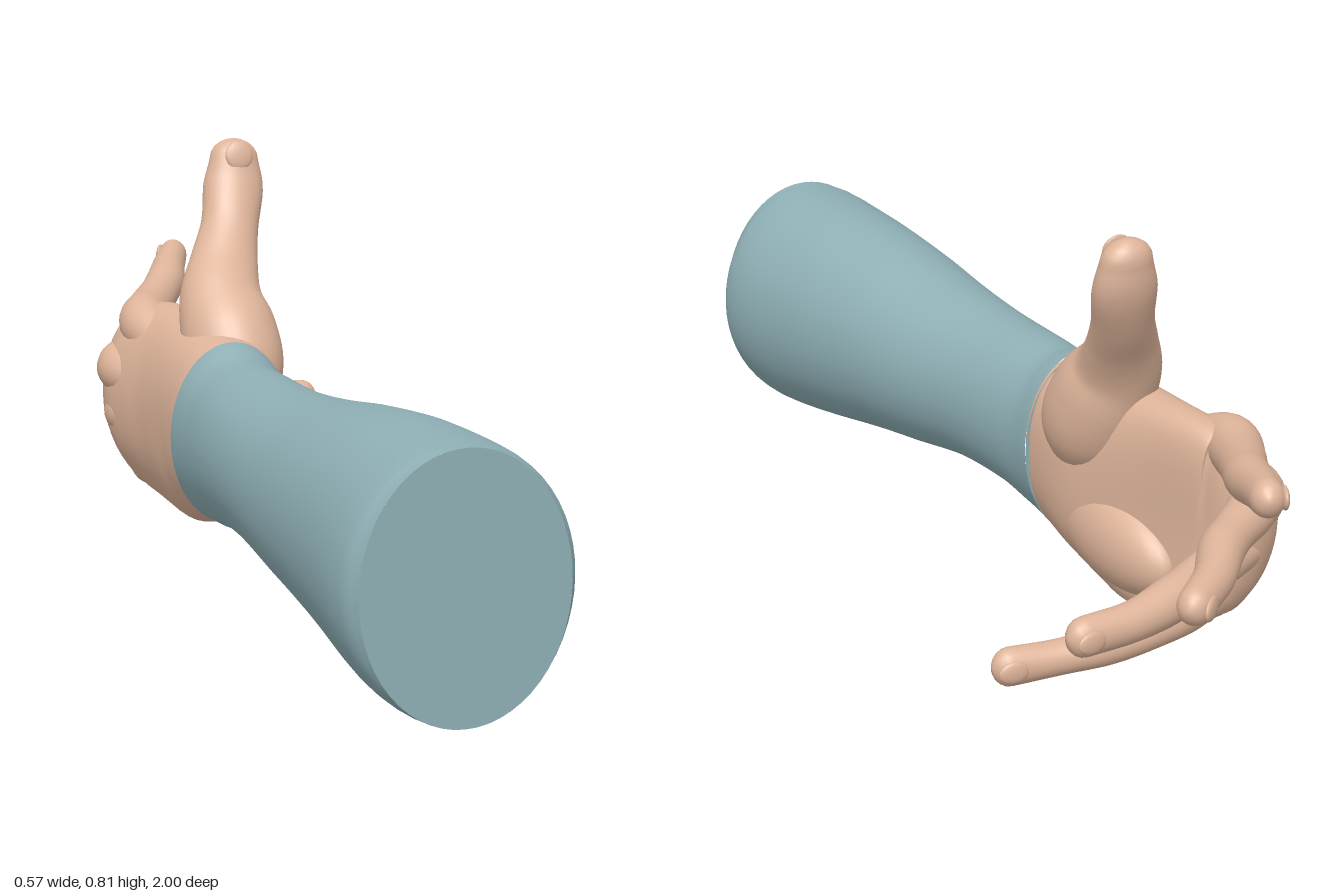
import * as THREE from 'three';

const skin = new THREE.MeshStandardMaterial({ color: 0xdfb59b });
skin.name = 'skin';
const cloth = new THREE.MeshStandardMaterial({ color: 0x8fb0b6 });
cloth.name = 'sleeveCloth';

// Smooth loft through rows [x, y, z, a, b]: a is the radius along `side`, b the radius across it.
// head / tail give the length of the rounded ends; bend moves each point by a rule.
function loft(rows, { side, head = 0, tail = 0, steps = 40, n = 32, square = 1, bend = null }) {
  const path = new THREE.CatmullRomCurve3(rows.map(r => new THREE.Vector3(r[0], r[1], r[2])), false, 'catmullrom');
  const radii = new THREE.CatmullRomCurve3(rows.map(r => new THREE.Vector3(r[3], r[4], 0)), false, 'catmullrom');
  const rings = [];
  const capAngles = [0.2, 0.4, 0.6, 0.8, 0.93].map(k => k * Math.PI / 2);
  if (head) for (const p of [...capAngles].reverse()) rings.push([0, -head * Math.sin(p), Math.cos(p)]);
  for (let i = 0; i <= steps; i++) rings.push([i / steps, 0, 1]);
  if (tail) for (const p of capAngles) rings.push([1, tail * Math.sin(p), Math.cos(p)]);

  const pos = [], index = [];
  const add = p => { if (bend) bend(p); pos.push(p.x, p.y, p.z); };
  const pw = v => Math.sign(v) * Math.abs(v) ** square;
  for (const [t, push, scale] of rings) {
    const tan = path.getTangent(t), r = radii.getPoint(t);
    const c = path.getPoint(t).addScaledVector(tan, push);
    const u = side.clone().addScaledVector(tan, -side.dot(tan)).normalize();
    const v = tan.clone().cross(u);
    for (let j = 0; j < n; j++) {
      const w = j / n * Math.PI * 2;
      add(c.clone().addScaledVector(u, r.x * scale * pw(Math.cos(w)))
        .addScaledVector(v, r.y * scale * pw(Math.sin(w))));
    }
  }
  for (let i = 0; i < rings.length - 1; i++) {
    for (let j = 0; j < n; j++) {
      const a = i * n + j, b = i * n + (j + 1) % n;
      index.push(a, b, b + n, a, b + n, a + n);
    }
  }
  // close the rounded ends
  const last = (rings.length - 1) * n;
  if (head) {
    add(path.getPoint(0).addScaledVector(path.getTangent(0), -head));
    for (let j = 0; j < n; j++) index.push(pos.length / 3 - 1, (j + 1) % n, j);
  }
  if (tail) {
    add(path.getPoint(1).addScaledVector(path.getTangent(1), tail));
    for (let j = 0; j < n; j++) index.push(pos.length / 3 - 1, last + j, last + (j + 1) % n);
  }
  const g = new THREE.BufferGeometry();
  g.setAttribute('position', new THREE.Float32BufferAttribute(pos, 3));
  g.setIndex(index);
  g.computeVertexNormals();
  return g;
}

function part(parent, name, geometry, material) {
  const m = new THREE.Mesh(geometry, material);
  m.name = name;
  parent.add(m);
  return m;
}

// A thin nail set on the back of the last joint
function nail(parent, name, rows, back, width) {
  const [e, d] = [rows.at(-1), rows.at(-2)];
  const end = new THREE.Vector3(e[0], e[1], e[2]);
  const along = end.clone().sub(new THREE.Vector3(d[0], d[1], d[2])).normalize();
  const out = back.clone().addScaledVector(along, -back.dot(along)).normalize();
  const across = along.clone().cross(out);
  const m = part(parent, name, new THREE.SphereGeometry(1, 16, 10), skin);
  m.scale.set(width, 0.03, 0.008);
  m.quaternion.setFromRotationMatrix(new THREE.Matrix4().makeBasis(across, along, out));
  m.position.copy(end).addScaledVector(out, e[4] - 0.002).addScaledVector(along, 0.002);
}

export function createModel() {
  const model = new THREE.Group();
  model.name = 'forearmAndHand';
  const X = new THREE.Vector3(1, 0, 0), Y = new THREE.Vector3(0, 1, 0);

  // Sleeve: tapered oval tube with flat ends
  const sleeve = new THREE.Group();
  sleeve.name = 'sleeve';
  model.add(sleeve);
  const sleeveRows = [
    [-0.05, 0.25, 1.0, 0.19, 0.243], [-0.05, 0.25, 0.96, 0.21, 0.243],
    [-0.05, 0.253, 0.88, 0.215, 0.24], [-0.06, 0.263, 0.72, 0.2, 0.227],
    [-0.075, 0.268, 0.56, 0.183, 0.206], [-0.09, 0.268, 0.4, 0.166, 0.183],
    [-0.108, 0.272, 0.22, 0.144, 0.163], [-0.118, 0.272, 0.05, 0.13, 0.163],
    [-0.121, 0.266, -0.06, 0.123, 0.172], [-0.12, 0.27, -0.14, 0.125, 0.187],
  ];
  part(sleeve, 'sleeveTube', loft(sleeveRows, { side: X, n: 56, steps: 54 }), cloth);
  for (const [name, row, turn] of [['sleeveEnd', sleeveRows[0], 0], ['cuffEnd', sleeveRows.at(-1), Math.PI]]) {
    const cap = part(sleeve, name, new THREE.CircleGeometry(1, 56), cloth);
    cap.position.set(row[0], row[1], row[2]);
    cap.scale.set(row[3], row[4], 1);
    cap.rotation.y = turn;
  }

  const hand = new THREE.Group();
  hand.name = 'hand';
  model.add(hand);

  // Palm: flattened loft, cupped towards the palm and slanted along the knuckles
  const palmRows = [
    [-0.12, 0.27, -0.12, 0.175, 0.112], [-0.119, 0.27, -0.16, 0.182, 0.118],
    [-0.12, 0.265, -0.24, 0.195, 0.118], [-0.135, 0.255, -0.33, 0.208, 0.107],
    [-0.152, 0.25, -0.42, 0.215, 0.096], [-0.17, 0.252, -0.5, 0.212, 0.09],
    [-0.187, 0.255, -0.57, 0.2, 0.083], [-0.192, 0.262, -0.61, 0.185, 0.074],
  ];
  const cup = p => {
    const k = THREE.MathUtils.smoothstep(-p.z, 0.16, 0.55), d = p.y - 0.27;
    p.x += k * d * d * (d < 0 ? 1.1 : 0.9);
    p.z -= k * d * 0.25;
  };
  part(hand, 'palm', loft(palmRows, { side: Y, tail: 0.055, n: 48, square: 0.88, bend: cup }), skin);

  // Heel of the palm on the little-finger side
  const heel = part(hand, 'palmHeel', new THREE.SphereGeometry(1, 32, 24), skin);
  heel.scale.set(0.075, 0.1, 0.2);
  heel.position.set(-0.085, 0.17, -0.34);
  heel.rotation.x = -0.1;

  // Fingers: each starts at its knuckle and swells at the joints
  const fingers = {
    indexFinger: [
      [-0.165, 0.385, -0.46, 0.04, 0.04], [-0.182, 0.415, -0.57, 0.055, 0.053],
      [-0.145, 0.428, -0.67, 0.047, 0.047], [-0.1, 0.445, -0.755, 0.042, 0.042],
      [-0.07, 0.458, -0.815, 0.043, 0.042], [-0.042, 0.475, -0.89, 0.038, 0.036],
      [-0.012, 0.49, -0.962, 0.035, 0.031]],
    middleFinger: [
      [-0.195, 0.31, -0.48, 0.04, 0.04], [-0.226, 0.32, -0.59, 0.055, 0.055],
      [-0.165, 0.325, -0.68, 0.047, 0.047], [-0.085, 0.323, -0.745, 0.041, 0.041],
      [-0.03, 0.32, -0.795, 0.043, 0.042], [0.035, 0.315, -0.875, 0.038, 0.037],
      [0.115, 0.31, -0.944, 0.036, 0.032]],
    ringFinger: [
      [-0.19, 0.235, -0.46, 0.04, 0.04], [-0.217, 0.23, -0.572, 0.053, 0.055],
      [-0.14, 0.218, -0.635, 0.046, 0.047], [-0.05, 0.207, -0.675, 0.041, 0.041],
      [0.02, 0.2, -0.71, 0.043, 0.042], [0.115, 0.193, -0.74, 0.038, 0.036],
      [0.222, 0.192, -0.752, 0.038, 0.031]],
    littleFinger: [
      [-0.15, 0.15, -0.43, 0.04, 0.04], [-0.175, 0.13, -0.53, 0.053, 0.052],
      [-0.11, 0.1, -0.567, 0.047, 0.045], [-0.02, 0.066, -0.56, 0.039, 0.039],
      [0.06, 0.05, -0.55, 0.038, 0.038], [0.15, 0.043, -0.54, 0.034, 0.034],
      [0.25, 0.042, -0.53, 0.038, 0.03]],
  };
  for (const [name, rows] of Object.entries(fingers)) {
    part(hand, name, loft(rows, { side: Y, head: 0.04, tail: 0.035, n: 28 }), skin);
    const [e, d] = [rows.at(-1), rows.at(-2)];
    const back = Y.clone().cross(new THREE.Vector3(e[0] - d[0], 0, e[2] - d[2]));
    nail(hand, name + 'Nail', rows, back, 0.022);
  }

  // Thumb with its fleshy base
  const thumbRows = [
    [-0.085, 0.3, -0.23, 0.07, 0.08], [-0.073, 0.37, -0.262, 0.097, 0.103],
    [-0.077, 0.44, -0.3, 0.099, 0.1], [-0.08, 0.505, -0.342, 0.086, 0.077],
    [-0.06, 0.57, -0.388, 0.071, 0.057], [-0.033, 0.64, -0.437, 0.06, 0.05],
    [-0.014, 0.715, -0.474, 0.063, 0.046], [-0.008, 0.772, -0.488, 0.051, 0.038],
  ];
  part(hand, 'thumb', loft(thumbRows, { side: X, head: 0.07, tail: 0.042, n: 36 }), skin);
  nail(hand, 'thumbNail', thumbRows, new THREE.Vector3(0, 0, 1), 0.03);

  return model;
}
